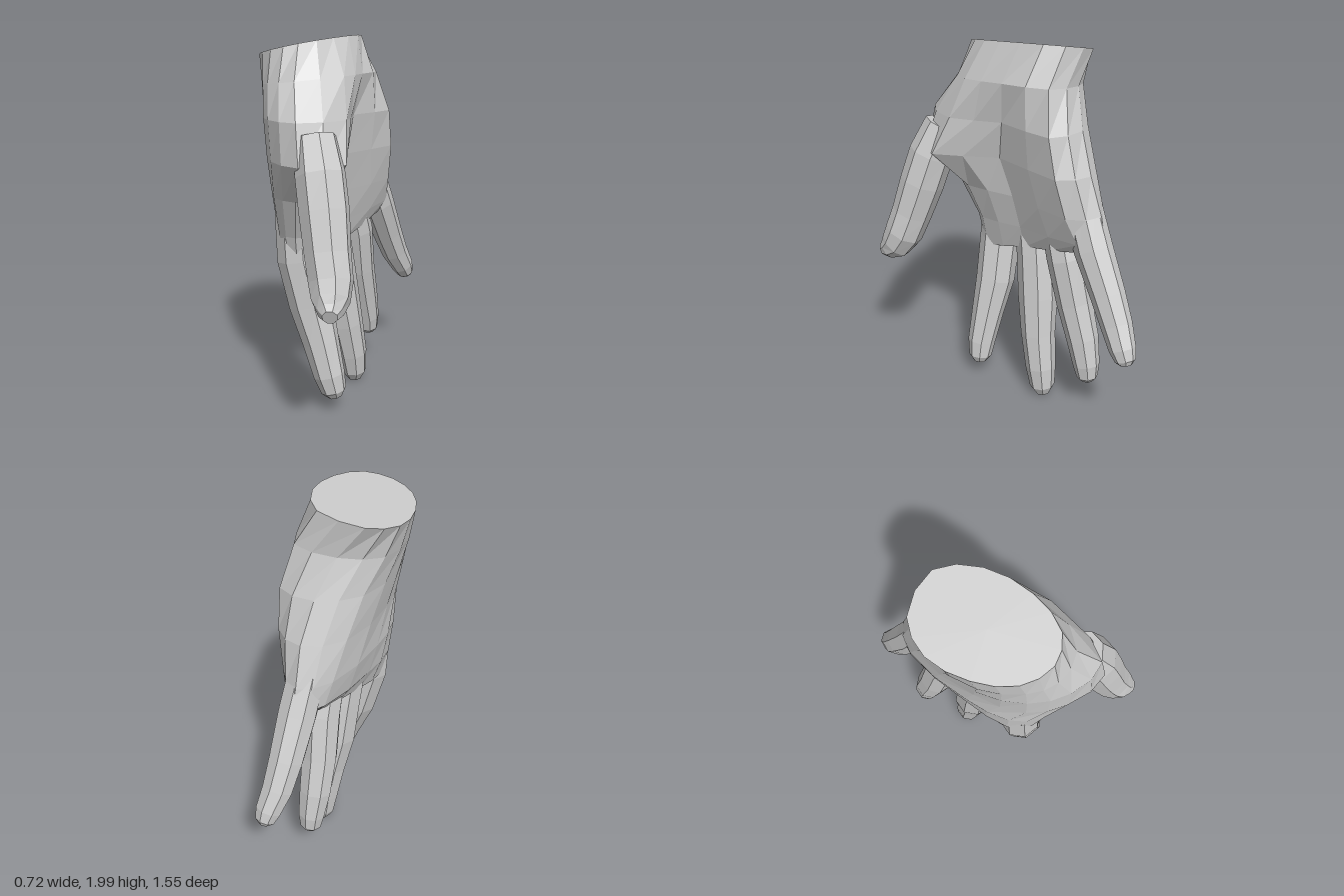
import * as THREE from 'three';

const material = new THREE.MeshStandardMaterial({ color: 0xcccccc, flatShading: true });

// Skin a list of equal-sized rings and close both ends with fans.
function loft(name, rings) {
  const n = rings[0].length, pos = [], idx = [];
  rings.forEach(r => r.forEach(p => pos.push(p.x, p.y, p.z)));
  for (let j = 0; j + 1 < rings.length; j++) {
    for (let i = 0; i < n; i++) {
      const a = j * n + i, b = j * n + (i + 1) % n;
      idx.push(a, b, a + n, b, b + n, a + n);
    }
  }
  [0, rings.length - 1].forEach(j => {
    const c = pos.length / 3, mid = new THREE.Vector3();
    rings[j].forEach(p => mid.addScaledVector(p, 1 / n));
    pos.push(mid.x, mid.y, mid.z);
    for (let i = 0; i < n; i++) {
      const a = j * n + i, b = j * n + (i + 1) % n;
      if (j === 0) idx.push(c, b, a); else idx.push(c, a, b);
    }
  });
  // Turn the faces outward if the enclosed volume comes out negative.
  const v = k => new THREE.Vector3().fromArray(pos, idx[k] * 3);
  let volume = 0;
  for (let k = 0; k < idx.length; k += 3) volume += v(k).dot(v(k + 1).cross(v(k + 2)));
  if (volume < 0) idx.reverse();
  const g = new THREE.BufferGeometry();
  g.setAttribute('position', new THREE.Float32BufferAttribute(pos, 3));
  g.setIndex(idx);
  g.computeVertexNormals();
  const mesh = new THREE.Mesh(g, material);
  mesh.name = name;
  return mesh;
}

// A tapering digit through stations [x, y, z, radius]; depth scales it from palm to back.
function digit(name, stations, depth = 1) {
  const sides = 8, centres = stations.map(s => new THREE.Vector3(s[0], s[1], s[2]));
  const rings = stations.map((s, j) => {
    const t = centres[Math.min(j + 1, centres.length - 1)].clone()
      .sub(centres[Math.max(j - 1, 0)]).normalize();
    const w = t.clone().cross(new THREE.Vector3(1, 0, 0)).normalize();
    const d = w.clone().cross(t);
    const r = s[3] * 1.05;
    return Array.from({ length: sides }, (_, i) => {
      const a = (i + 0.5) / sides * Math.PI * 2;
      return centres[j].clone().addScaledVector(w, Math.cos(a) * r)
        .addScaledVector(d, Math.sin(a) * r * depth);
    });
  });
  return loft(name, rings);
}

// Palm sections: height, tilt along x, tilt along z, then [x, z] outline points running
// little-finger edge, back of hand, ball of the thumb, hollow, heel of the hand.
const palmSections = [
  [1.975, .2, 0, [[-.14, -.36], [-.29, -.26], [-.36, -.06], [-.35, .14], [-.25, .27], [-.11, .28], [.03, .14], [.11, -.08], [.07, -.29]]],
  [1.79, .1, 0, [[-.02, -.33], [-.23, -.27], [-.34, -.04], [-.33, .17], [-.26, .3], [-.11, .36], [.1, .22], [.15, 0], [.18, -.25]]],
  [1.6, 0, 0, [[.08, -.39], [-.14, -.33], [-.3, -.06], [-.32, .18], [-.24, .37], [-.07, .49], [.13, .3], [.11, .02], [.25, -.28]]],
  [1.4, 0, 0, [[.14, -.46], [-.07, -.4], [-.25, -.08], [-.3, .18], [-.23, .37], [-.05, .53], [.15, .4], [.07, .05], [.26, -.32]]],
  [1.2, 0, 0, [[.16, -.53], [-.01, -.46], [-.21, -.14], [-.29, .1], [-.25, .27], [-.11, .36], [.02, .26], [.07, -.02], [.24, -.37]]],
  [1.02, 0, -.1, [[.18, -.56], [.03, -.48], [-.17, -.15], [-.27, .09], [-.24, .22], [-.14, .27], [-.03, .2], [.06, -.06], [.22, -.43]]],
  [.88, 0, -.29, [[.17, -.52], [.07, -.45], [-.12, -.15], [-.23, .08], [-.21, .19], [-.14, .23], [-.05, .18], [.04, -.08], [.18, -.41]]],
];

function palm() {
  const rings = palmSections.map(([y, tiltX, tiltZ, outline]) => {
    const curve = new THREE.CatmullRomCurve3(
      outline.map(([x, z]) => new THREE.Vector3(x, y + tiltX * x + tiltZ * z, z)), true);
    return curve.getPoints(18).slice(0, 18);
  });
  return loft('palm', rings);
}

export function createModel() {
  const hand = new THREE.Group();
  hand.name = 'hand';
  hand.add(
    palm(),
    digit('thumb', [[0, 1.52, .4, .1], [.04, 1.36, .465, .115], [.07, 1.2, .515, .115],
      [.1, 1.02, .575, .106], [.125, .9, .62, .102], [.135, .825, .67, .088],
      [.145, .79, .72, .06], [.15, .778, .753, .035]]),
    digit('indexFinger', [[-.17, 1.1, .14, .1], [-.15, .85, .148, .108], [-.09, .6, .155, .105],
      [-.03, .4, .18, .088], [.02, .22, .2, .076], [.045, .13, .2, .062], [.055, .095, .2, .035]], 1.08),
    digit('middleFinger', [[-.06, 1.07, -.09, .1], [-.03, .85, -.12, .102], [0, .6, -.145, .105],
      [.04, .38, -.165, .092], [.07, .18, -.195, .082], [.08, .06, -.21, .068], [.08, .01, -.215, .04]]),
    digit('ringFinger', [[.03, 1.12, -.26, .09], [.06, .9, -.32, .096], [.07, .65, -.38, .092],
      [.09, .45, -.44, .084], [.11, .3, -.475, .07], [.115, .225, -.485, .056], [.115, .2, -.487, .033]]),
    digit('littleFinger', [[.11, 1.25, -.41, .09], [.16, 1.03, -.495, .094], [.21, .82, -.595, .085],
      [.25, .68, -.66, .077], [.295, .575, -.71, .065], [.312, .525, -.732, .05], [.318, .505, -.738, .03]]),
  );
  return hand;
}
